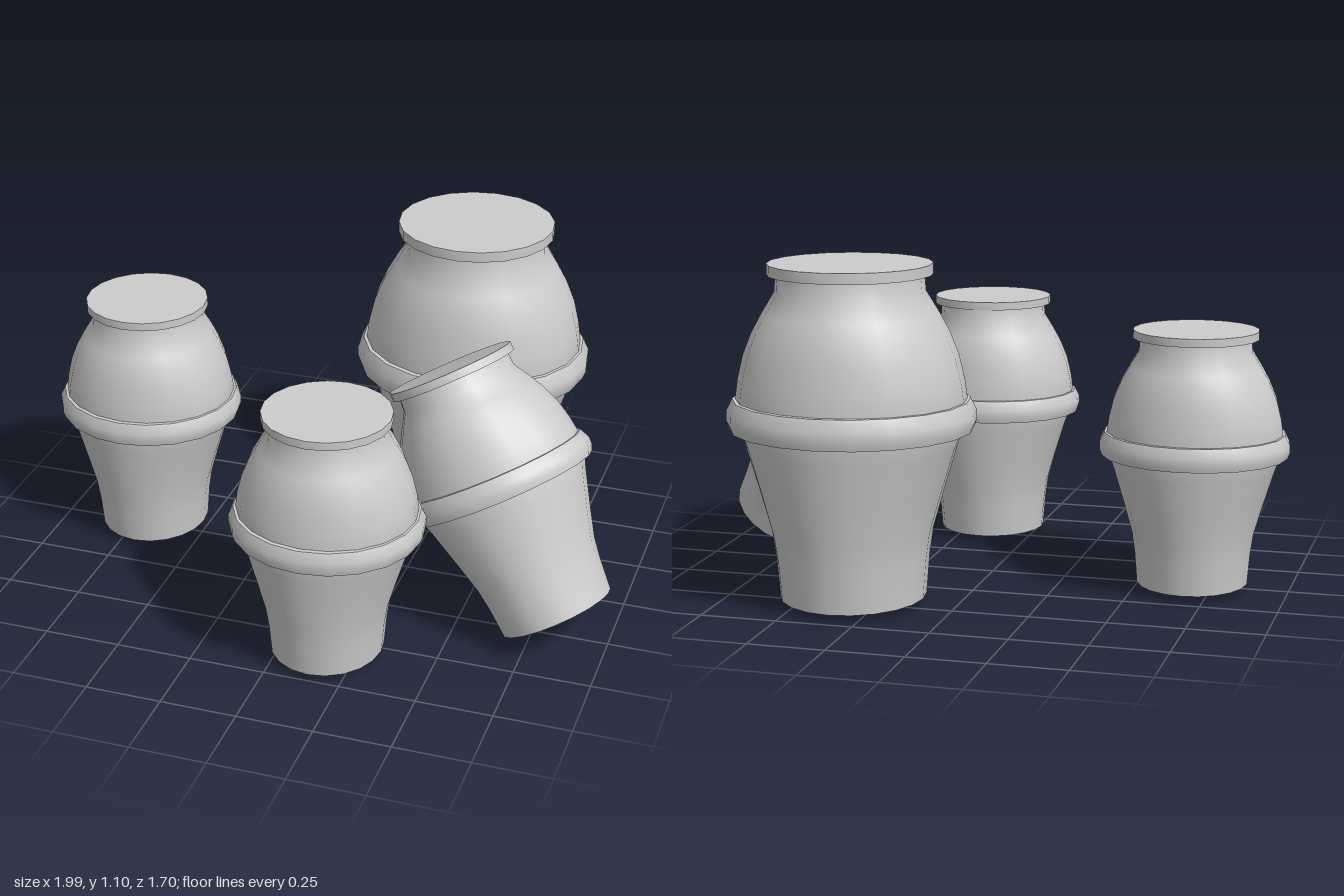
import * as THREE from 'three';
import { toCreasedNormals } from 'three/addons/utils/BufferGeometryUtils.js';

const SIDES = 20;

// Turned shape with a slightly oval section; profile rows are [radius x, radius z, height]
function ovalLathe(profile) {
  const geometry = new THREE.LatheGeometry(profile.map(([rx, , y]) => new THREE.Vector2(rx, y)), SIDES);
  const pos = geometry.attributes.position;
  for (let i = 0; i < pos.count; i++) {
    const [rx, rz] = profile[i % profile.length];
    if (rx > 0) pos.setZ(i, pos.getZ(i) * rz / rx);
  }
  return toCreasedNormals(geometry, 0.6);
}

// Heights are measured from the underside of the pot
const bodyProfile = [
  [0, 0, 0], [0.181, 0.2, 0], [0.189, 0.21, 0.1], [0.199, 0.222, 0.17], [0.228, 0.24, 0.27],
  [0.262, 0.259, 0.38], [0.28, 0.267, 0.43], [0.288, 0.268, 0.5],
  [0.281, 0.263, 0.55], [0.266, 0.256, 0.61], [0.243, 0.245, 0.665], [0.215, 0.227, 0.715],
  [0.184, 0.201, 0.765], [0.18, 0.199, 0.815],
];
const bandProfile = [
  [0.27, 0.25, 0.425], [0.303, 0.29, 0.425], [0.311, 0.295, 0.445],
  [0.311, 0.295, 0.468], [0.295, 0.283, 0.5], [0.27, 0.25, 0.5],
];
const lidProfile = [
  [0, 0, 0.808], [0.204, 0.204, 0.808], [0.204, 0.204, 0.835], [0, 0, 0.835],
];

export function createModel() {
  const model = new THREE.Group();
  model.name = 'potGroup';
  const material = new THREE.MeshStandardMaterial({ color: 0xcccccc });
  const parts = {
    body: ovalLathe(bodyProfile),
    band: ovalLathe(bandProfile),
    lid: ovalLathe(lidProfile),
  };

  function addPot(name, position, scale) {
    const pot = new THREE.Group();
    pot.name = name;
    for (const [part, geometry] of Object.entries(parts)) {
      const mesh = new THREE.Mesh(geometry, material);
      mesh.name = part;
      pot.add(mesh);
    }
    pot.position.set(...position);
    pot.scale.setScalar(scale);
    model.add(pot);
    return pot;
  }

  // Upright pots
  addPot('rightPot', [-0.687, 0.03, -0.033], 1);
  addPot('frontPot', [0.148, 0.03, 0.553], 1);
  addPot('largePot', [0.335, 0.03, -0.473], 1.283);

  // Pot leaning on the large one
  const leaning = addPot('leaningPot', [0.83, 0.106, 0.267], 1.03);
  const axis = new THREE.Vector3(-0.423, 0.72, -0.182).normalize();
  leaning.quaternion.setFromUnitVectors(new THREE.Vector3(0, 1, 0), axis);

  return model;
}
